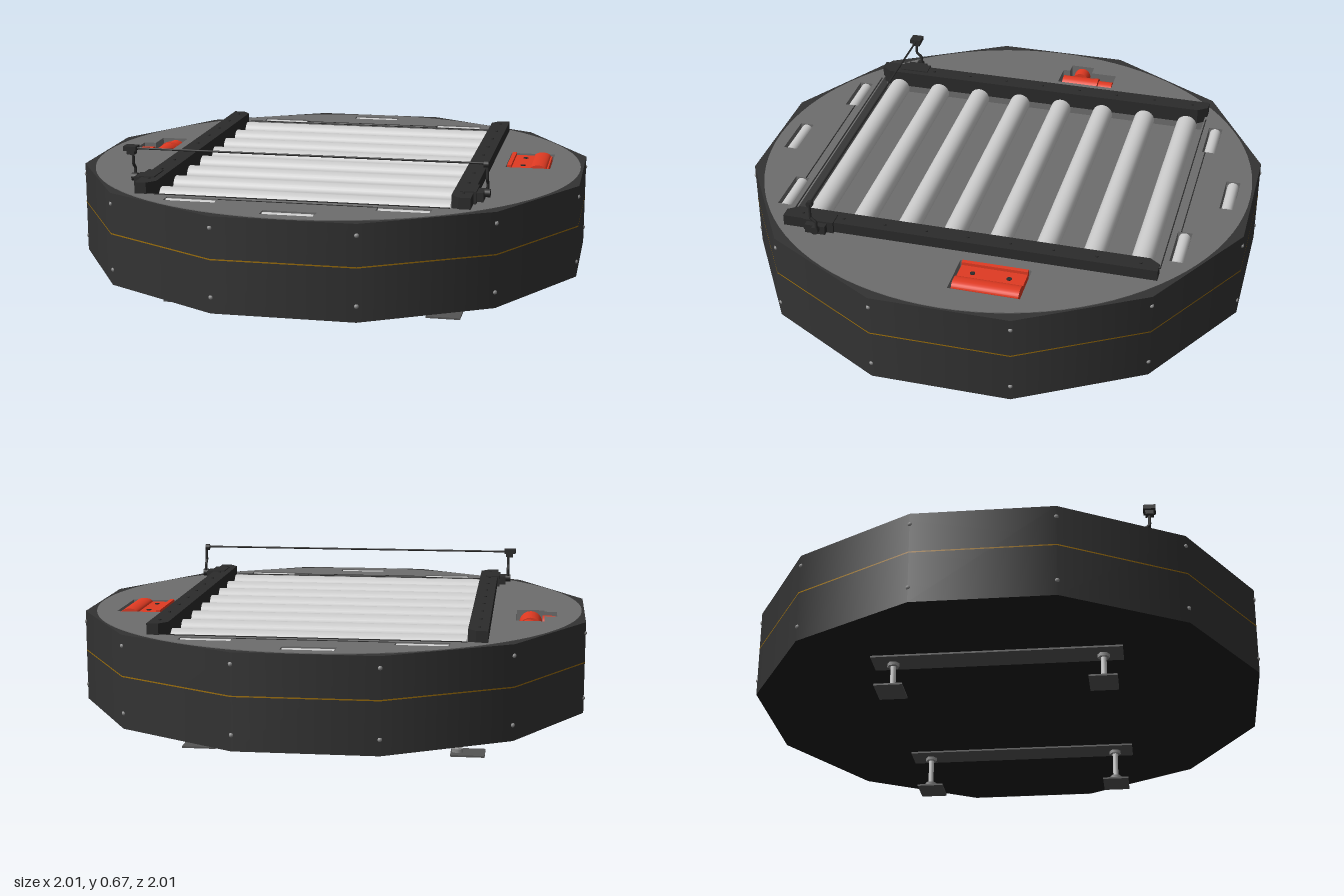
import * as THREE from 'three';

const mat = (color) => new THREE.MeshStandardMaterial({ color, side: THREE.DoubleSide });
const M = {
  skirt: mat(0x333333), base: mat(0x1c1c1c), deck: mat(0x6e6e6e), dark: mat(0x2b2b2b),
  grey: mat(0xcccccc), steel: mat(0x8c8c8c), red: mat(0xe03a22), line: mat(0x9a6d0a), strap: mat(0x555555),
};

export function createModel() {
  const root = new THREE.Group();
  const add = (name, geo, m, x = 0, y = 0, z = 0) => {
    const mesh = new THREE.Mesh(geo, m);
    mesh.name = name;
    mesh.position.set(x, y, z);
    root.add(mesh);
    return mesh;
  };
  // Box given by its limits on each axis
  const box = (name, m, x0, x1, y0, y1, z0, z1) =>
    add(name, new THREE.BoxGeometry(x1 - x0, y1 - y0, z1 - z0), m, (x0 + x1) / 2, (y0 + y1) / 2, (z0 + z1) / 2);
  const cyl = (name, m, r, len, x, y, z, axis = 'y', seg = 20) => {
    const g = new THREE.CylinderGeometry(r, r, len, seg);
    if (axis === 'x') g.rotateZ(Math.PI / 2);
    if (axis === 'z') g.rotateX(Math.PI / 2);
    return add(name, g, m, x, y, z);
  };
  const rod = (name, m, r, pts) => {
    const path = new THREE.CurvePath();
    const v = pts.map((p) => new THREE.Vector3(...p));
    for (let i = 1; i < v.length; i++) path.add(new THREE.LineCurve3(v[i - 1], v[i]));
    return add(name, new THREE.TubeGeometry(path, 8 * (v.length - 1), r, 8), m);
  };

  // Twelve-sided skirt, underside and trim line
  const R = 1 / Math.cos(Math.PI / 12), start = Math.PI / 12;
  add('skirt', new THREE.CylinderGeometry(R, R, 0.363, 12, 1, true, start), M.skirt, 0, 0.3265, 0);
  add('underside', new THREE.CircleGeometry(R, 12, start).rotateX(Math.PI / 2), M.base, 0, 0.146, 0);
  add('trimLine', new THREE.CylinderGeometry(R + 0.001, R + 0.001, 0.005, 12, 1, true, start), M.line, 0, 0.348, 0);

  // Dark corners around the round deck
  const rim = new THREE.Shape();
  for (let i = 0; i < 12; i++) {
    const a = start + (i * Math.PI) / 6;
    rim[i ? 'lineTo' : 'moveTo'](R * Math.cos(a), R * Math.sin(a));
  }
  rim.closePath();
  rim.holes.push(new THREE.Path().absarc(0, 0, 0.985, 0, Math.PI * 2, true));
  add('rimCorners', new THREE.ShapeGeometry(rim, 48).rotateX(-Math.PI / 2), M.skirt, 0, 0.507, 0);

  // Skirt screws near every corner
  for (let i = 0; i < 12; i++) {
    const a = start + (i * Math.PI) / 6;
    for (const y of [0.205, 0.465])
      add('skirtScrew', new THREE.SphereGeometry(0.009, 10, 8), M.steel, (R - 0.004) * Math.sin(a), y, (R - 0.004) * Math.cos(a));
  }

  // Deck with roller bay, slots and pockets
  const slots = [[0, 0.91], [0, -0.91], [0.4, 0.78], [-0.4, 0.78], [0.4, -0.78], [-0.4, -0.78]];
  const hole = (pts) => new THREE.Path(pts.map(([x, z]) => new THREE.Vector2(x, -z)));
  const rect = (x0, x1, z0, z1) => hole([[x0, z0], [x1, z0], [x1, z1], [x0, z1]]);
  const plate = new THREE.Shape().absarc(0, 0, 0.99, 0, Math.PI * 2, false);
  plate.holes.push(
    rect(-0.6, 0.6, -0.72, 0.72),
    rect(0.69, 0.87, -0.27, 0.005),
    hole([[-0.84, -0.28], [-0.73, -0.28], [-0.73, -0.04], [-0.84, -0.04], [-0.84, -0.07], [-0.89, -0.07], [-0.89, -0.17], [-0.84, -0.17]]),
    ...slots.map(([x, z]) => rect(x - 0.1, x + 0.1, z - 0.028, z + 0.028)),
  );
  const deckGeo = new THREE.ExtrudeGeometry(plate, { depth: 0.075, bevelEnabled: false, curveSegments: 48 });
  add('deck', deckGeo.rotateX(-Math.PI / 2), M.deck, 0, 0.435, 0);
  add('deckFloor', new THREE.CircleGeometry(0.98, 64).rotateX(-Math.PI / 2), M.deck, 0, 0.434, 0);

  // Conveyor rollers and small slot rollers
  for (let i = 0; i < 8; i++) cyl('roller', M.grey, 0.043, 1.11, 0, 0.478, 0.643 - i * 0.1843, 'x', 32);
  for (const [x, z] of slots) cyl('slotRoller', M.grey, 0.023, 0.19, x, 0.487, z, 'x');
  for (const s of [-1, 1]) {
    box('bayEdge', M.dark, -0.56, 0.56, 0.509, 0.513, s * 0.728 - 0.002, s * 0.728 + 0.002);
    box('deckSeam', M.dark, -0.3, 0.3, 0.509, 0.512, s * 0.765 - 0.002, s * 0.765 + 0.002);
  }

  // Side rails with tapered inner ends, screws and bar brackets
  for (const s of [-1, 1]) {
    const sh = new THREE.Shape([[0.635, -0.73], [0.635, 0.73], [0.59, 0.73], [0.56, 0.69], [0.56, -0.69], [0.59, -0.73]]
      .map(([x, z]) => new THREE.Vector2(s * x, z)));
    const g = new THREE.ExtrudeGeometry(sh, { depth: 0.065, bevelEnabled: false }).rotateX(-Math.PI / 2);
    add('sideRail', g, M.dark, 0, 0.488, 0);
    for (let i = 0; i < 9; i++) cyl('railScrew', M.dark, 0.006, 0.005, s * 0.6, 0.555, -0.66 + i * 0.165, 'y', 8);
    box('barBracket', M.dark, s * 0.615 - 0.03, s * 0.615 + 0.03, 0.51, 0.557, 0.525, 0.645);
    box('bracketArm', M.dark, s * 0.65 - 0.02, s * 0.65 + 0.02, 0.515, 0.55, 0.55, 0.63);
    cyl('postFoot', M.dark, 0.016, 0.022, s * 0.68, 0.54, 0.585, 'x', 12);
    rod('barPost', M.dark, 0.006, [[s * 0.68, 0.53, 0.578], [s * 0.68, 0.575, 0.578], [s * 0.68, 0.595, 0.6], [s * 0.68, 0.655, 0.6]]);
  }
  box('barHead', M.dark, -0.712, -0.662, 0.648, 0.665, 0.577, 0.625);
  box('barHeadLower', M.dark, -0.7, -0.67, 0.632, 0.648, 0.585, 0.617);
  cyl('barTip', M.dark, 0.013, 0.018, 0.675, 0.652, 0.6, 'x', 12);
  cyl('stopBar', M.dark, 0.004, 1.37, 0, 0.655, 0.6, 'x', 8);

  // Red hinged cover on the left: raised ridge, pan and lip
  box('coverPan', M.red, 0.7, 0.86, 0.48, 0.505, -0.26, -0.005);
  box('coverLip', M.red, 0.695, 0.712, 0.49, 0.517, -0.26, -0.005);
  const ridge = cyl('coverRidge', M.red, 0.034, 0.255, 0.82, 0.503, -0.1325, 'z');
  ridge.scale.y = 0.5;
  for (const z of [-0.2, -0.06]) cyl('coverScrew', M.dark, 0.01, 0.006, 0.755, 0.505, z, 'y', 12);

  // Red plug lying in the right pocket
  cyl('plugBody', M.red, 0.046, 0.14, -0.786, 0.462, -0.122, 'z');
  cyl('plugCollar', M.red, 0.05, 0.02, -0.786, 0.46, -0.2, 'z');
  cyl('plugHead', M.red, 0.042, 0.06, -0.78, 0.462, -0.244, 'z');
  cyl('plugKnob', M.red, 0.035, 0.05, -0.858, 0.468, -0.12, 'x');

  // Underside straps, levelling legs and foot plates
  for (const [x, s] of [[-0.515, -1], [0.465, 1]]) {
    box('strap', M.strap, x - 0.06, x + 0.06, 0.139, 0.146, -0.48, 0.48);
    for (const z of [-0.4, 0.405]) {
      cyl('legPost', M.grey, 0.011, 0.135, x, 0.073, z);
      cyl('legNut', M.steel, 0.024, 0.014, x, 0.13, z, 'y', 6);
      cyl('footNut', M.steel, 0.024, 0.014, x, 0.014, z, 'y', 6);
      const c = x + s * 0.04;
      box('footPlate', M.strap, c - 0.067, c + 0.067, 0, 0.007, z - 0.054, z + 0.054);
    }
  }
  return root;
}
